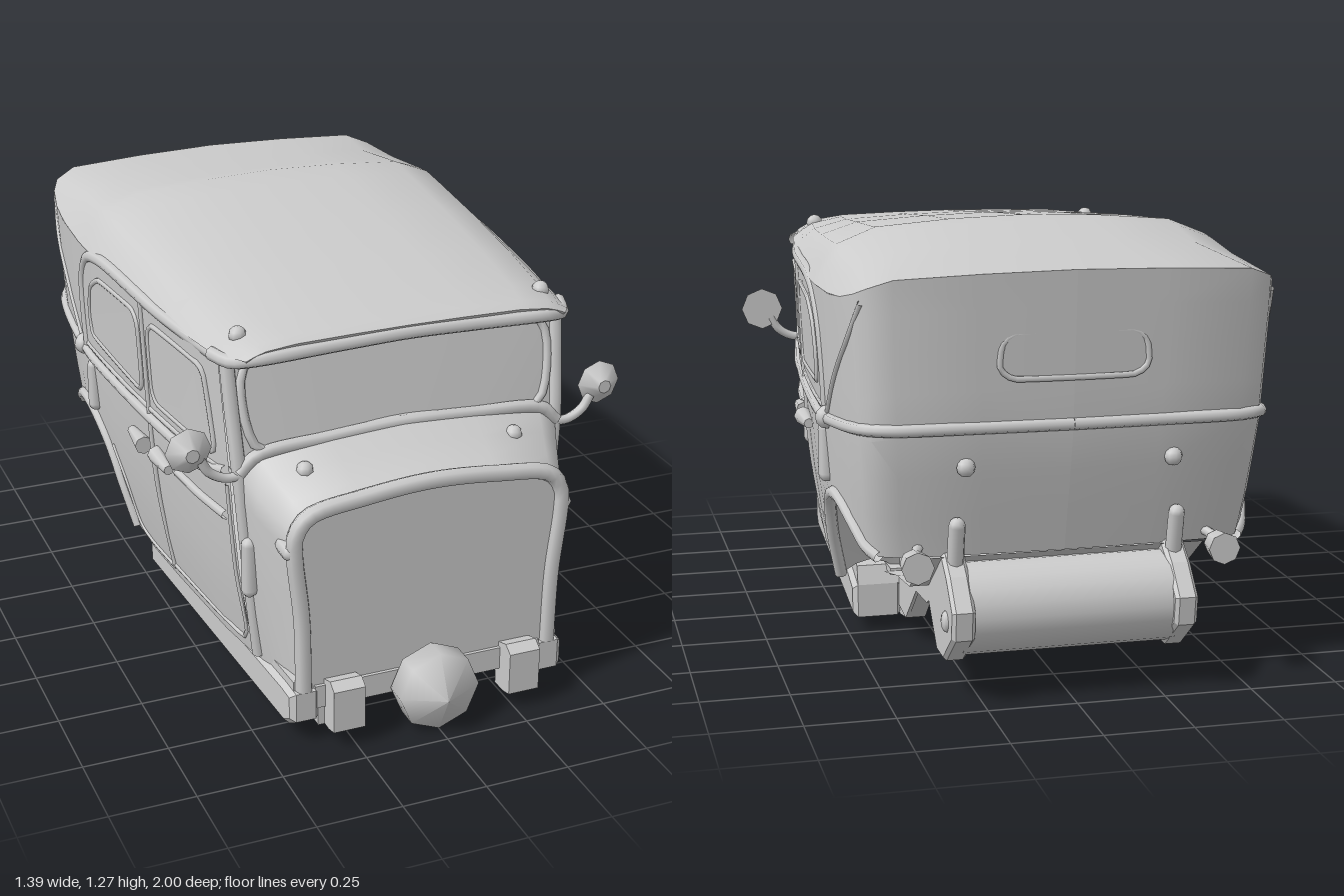
import * as THREE from 'three';
import { toCreasedNormals } from 'three/addons/utils/BufferGeometryUtils.js';

const V = (x, y, z) => new THREE.Vector3(x, y, z);
const clamp = THREE.MathUtils.clamp;
const mat = new THREE.MeshStandardMaterial({ color: 0xcccccc, side: THREE.DoubleSide });

function lerpTable(t, k) {
  const up = t[t.length - 1][0] > t[0][0];
  let i = 0;
  while (i < t.length - 2 && (up ? k > t[i + 1][0] : k < t[i + 1][0])) i++;
  const s = clamp((k - t[i][0]) / (t[i + 1][0] - t[i][0]), 0, 1);
  return t[i][1] + s * (t[i + 1][1] - t[i][1]);
}

function add(group, name, geo, pos = [0, 0, 0]) {
  const m = new THREE.Mesh(geo, mat);
  m.name = name;
  m.position.set(...pos);
  group.add(m);
  return m;
}

// Surface through rows of points
function sheet(rows, crease = 0.7) {
  const n = rows[0].length, index = [];
  const geo = new THREE.BufferGeometry().setFromPoints(rows.flat());
  for (let i = 0; i < rows.length - 1; i++) for (let j = 0; j < n - 1; j++) {
    const a = i * n + j, b = a + n;
    index.push(a, b, a + 1, b, b + 1, a + 1);
  }
  geo.setIndex(index);
  return toCreasedNormals(geo, crease);
}

const tube = (pts, r, closed = false, seg = pts.length * 5) =>
  new THREE.TubeGeometry(new THREE.CatmullRomCurve3(pts, closed), seg, r, 8, closed);
const mirrorRow = half => [...half, ...half.slice(0, -1).reverse().map(p => V(-p.x, p.y, p.z))];
const box = (x, y, z) => new THREE.BoxGeometry(x, y, z);

// Side profile given as [z, y], extruded from x0 to x1
function extrudeX(pts, x0, x1, bevel = 0) {
  const s = new THREE.Shape(pts.map(([z, y]) => new THREE.Vector2(-z, y)));
  const g = new THREE.ExtrudeGeometry(s, {
    depth: x1 - x0, bevelEnabled: bevel > 0, bevelSize: bevel, bevelOffset: -bevel, bevelThickness: bevel, bevelSegments: 1 });
  return g.rotateY(Math.PI / 2).translate(x0, 0, 0);
}

// Draws the outer face inward towards the front
function taperFront(geo) {
  const p = geo.attributes.position;
  for (let i = 0; i < p.count; i++) if (p.getX(i) > 0.4) p.setX(i, p.getX(i) - 0.06 * (p.getZ(i) + 0.24) / 1.1);
  geo.computeVertexNormals();
  return geo;
}

// Body plan columns: z and x at belt height, lower edge, upper edge
const columns = [
  [0.62, 0.51, 0.17, 1.1], [0.45, 0.54, 0.17, 1.1], [0.25, 0.56, 0.17, 1.1], [0.1, 0.575, 0.17, 1.1],
  [-0.1, 0.59, 0.17, 1.1], [-0.24, 0.598, 0.19, 1.1], [-0.29, 0.601, 0.32, 1.1], [-0.35, 0.603, 0.42, 1.1],
  [-0.42, 0.605, 0.48, 1.1], [-0.52, 0.604, 0.51, 1.1], [-0.62, 0.6, 0.51, 1.1], [-0.75, 0.588, 0.47, 1.11],
  [-0.84, 0.57, 0.42, 1.13], [-0.89, 0.545, 0.4, 1.15], [-0.92, 0.48, 0.4, 1.175],
  [-0.93, 0.25, 0.4, 1.185], [-0.935, 0, 0.4, 1.19]];
const widthAt = columns.slice(0, 14);
const taper = [[0.16, 0.86], [0.3, 0.91], [0.5, 0.96], [0.73, 0.99], [1.1, 1.02], [1.2, 1.02]];
const rearLean = [[0.4, 0.078], [0.73, 0], [1.19, -0.035]];

function wallPoint(z, x, y, out = 0) {
  const rear = clamp((-0.4 - z) / 0.5, 0, 1), front = clamp((z - 0.4) / 0.22, 0, 1);
  return V(x * lerpTable(taper, y) + out, y,
    z + rear * lerpTable(rearLean, y) - front * Math.max(0, y - 0.73) * 0.12 - rear * out * 0.7);
}
const onSide = (z, y, out = 0) => wallPoint(z, lerpTable(widthAt, z), y, out);
const sidePath = (pts, out = 0) => pts.map(([z, y]) => onSide(z, y, out));

const tankProfile = [[-0.66, 0.23], [-0.78, 0.11], [-0.87, 0.11], [-0.985, 0.2], [-0.995, 0.28], [-0.92, 0.36], [-0.85, 0.41], [-0.78, 0.41]];

// Parts that occur once on each side
function buildSide() {
  const g = new THREE.Group();

  const levels = [0, 0.15, 0.3, 0.45, 0.6, 0.75, 0.88, 1];
  add(g, 'bodyWall', sheet(columns.map(([z, x, b, t]) => levels.map(k => wallPoint(z, x, b + (t - b) * k)))));

  // Mouldings
  const belt = columns.slice(1).map(([z, x]) => wallPoint(z, x, 0.72 + 0.05 * clamp((-0.45 - z) / 0.45, 0, 1)));
  add(g, 'beltMoulding', tube([onSide(0.6, 0.76), ...belt], 0.017));
  add(g, 'windowSill', tube(sidePath([[0.58, 0.755], [0.2, 0.75], [-0.2, 0.75], [-0.46, 0.75]], -0.003), 0.01));
  add(g, 'topBow', tube(sidePath([[0.6, 1.09], [0.2, 1.095], [-0.28, 1.095], [-0.4, 1.06], [-0.46, 0.98], [-0.48, 0.85], [-0.48, 0.74]], -0.01), 0.02));
  add(g, 'screenPillar', tube([V(0.5, 1.1, 0.585), V(0.495, 0.95, 0.61), V(0.485, 0.75, 0.64), V(0.455, 0.4, 0.64), V(0.43, 0.18, 0.63)], 0.022));
  add(g, 'doorPost', tube(sidePath([[0.09, 1.09], [0.09, 0.75], [0.09, 0.5], [0.09, 0.2]]), 0.009));
  add(g, 'frontDoorEdge', tube(sidePath([[0.6, 0.72], [0.6, 0.45], [0.59, 0.22], [0.5, 0.21], [0.1, 0.21]]), 0.007));
  add(g, 'rearDoorEdge', tube(sidePath([[0.09, 0.2], [-0.12, 0.2], [-0.19, 0.22], [-0.24, 0.34], [-0.32, 0.45]]), 0.007));
  add(g, 'topStrut', tube(sidePath([[-0.53, 0.75], [-0.66, 0.88], [-0.79, 1.0], [-0.87, 1.11]]), 0.009));

  // Side windows
  const windows = {
    frontWindow: [[0.52, 0.79], [0.17, 0.79], [0.13, 0.83], [0.13, 1.0], [0.17, 1.04], [0.48, 1.04], [0.52, 1.01], [0.545, 0.83]],
    rearWindow: [[0.05, 0.83], [0.05, 1.0], [0.01, 1.04], [-0.27, 1.03], [-0.36, 0.98], [-0.39, 0.9], [-0.37, 0.81], [0.02, 0.79]] };
  for (const [name, pts] of Object.entries(windows)) {
    add(g, name + 'Frame', new THREE.TubeGeometry(new THREE.CatmullRomCurve3(sidePath(pts), true, 'catmullrom', 0.2), 56, 0.009, 6, true));
    const pane = new THREE.ShapeGeometry(new THREE.Shape(pts.map(p => new THREE.Vector2(...p))));
    const p = pane.attributes.position;
    for (let i = 0; i < p.count; i++) {
      const q = onSide(p.getX(i), p.getY(i), 0.003);
      p.setXYZ(i, q.x, q.y, q.z);
    }
    pane.computeVertexNormals();
    add(g, name + 'Glass', pane);
  }

  // Handles, strips and lamps
  for (const [z, a] of [[0.19, 1], [0, -1]]) {
    const h = add(g, 'doorHandle', new THREE.CylinderGeometry(0.015, 0.028, 0.12, 8), onSide(z, 0.615, 0.015).toArray());
    h.rotation.x = a * Math.PI / 2;
  }
  add(g, 'sideStrip', tube(sidePath([[0.58, 0.615], [0.42, 0.615], [0.27, 0.615]], 0.002), 0.014));
  const lamp = add(g, 'cowlLamp', new THREE.CapsuleGeometry(0.026, 0.045, 3, 8), [0.415, 0.61, 0.82]);
  lamp.rotation.x = Math.PI / 2;
  add(g, 'frontHinge', new THREE.CapsuleGeometry(0.024, 0.14, 3, 8), [0.47, 0.485, 0.665]);
  add(g, 'rearHinge', new THREE.CapsuleGeometry(0.024, 0.13, 3, 8), onSide(-0.44, 0.615).toArray());
  const knob = new THREE.SphereGeometry(0.026, 8, 6);
  add(g, 'topPivot', new THREE.SphereGeometry(0.034, 8, 6), onSide(-0.51, 0.73).toArray());
  add(g, 'roofKnob', knob, [0.46, 1.15, 0.57]);
  add(g, 'cowlKnob', knob, [0.32, 0.78, 0.71]);
  add(g, 'rearKnob', knob, [0.29, 0.66, -0.915]);

  // Mirror
  add(g, 'mirrorArm', tube([V(0.47, 0.765, 0.645), V(0.53, 0.765, 0.645), V(0.575, 0.79, 0.645), V(0.6, 0.83, 0.645)], 0.014));
  const mirror = add(g, 'mirror', new THREE.CylinderGeometry(0.02, 0.067, 0.04, 8), [0.63, 0.86, 0.655]);
  mirror.rotation.x = Math.PI / 2;

  // Rear wheel arch with well
  const arch = columns.slice(5, 14);
  add(g, 'archLip', tube(arch.map(([z, x, b]) => wallPoint(z, x, b)), 0.018));
  add(g, 'wheelWell', sheet(arch.map(([z, x, b]) => {
    const o = wallPoint(z, x, b);
    return [0, 0.25, 0.5, 0.75, 1].map(k => V(o.x + (0.34 - o.x) * k, b + 0.04 * Math.sin(k * Math.PI), o.z));
  }), 1));
  const inner = arch.map(([z, x, b]) => [wallPoint(z, x, b).z, b]);
  add(g, 'wheelWellWall', extrudeX([[-0.24, 0.08], ...inner, [-0.82, 0.3], [-0.65, 0.21], [-0.5, 0.2], [-0.34, 0.07]], 0.335, 0.345));

  // Frame rail and running board
  add(g, 'frameRail', extrudeX([[0.86, 0.05], [0.86, 0.17], [-0.25, 0.2], [-0.5, 0.26], [-0.66, 0.26], [-0.72, 0.3],
    [-0.78, 0.2], [-0.65, 0.21], [-0.5, 0.21], [-0.34, 0.07], [-0.24, 0.05]], 0.285, 0.34));
  add(g, 'runningBoard', taperFront(extrudeX([[0.87, 0.08], [0.87, 0.17], [0.8, 0.175], [-0.1, 0.165], [-0.24, 0.15],
    [-0.24, 0.05], [0.82, 0.05]], 0.35, 0.47, 0.015)));
  add(g, 'sill', taperFront(extrudeX([[0.85, 0.15], [0.85, 0.2], [-0.22, 0.205], [-0.24, 0.15]], 0.34, 0.47)));
  add(g, 'bumperBracket', extrudeX([[0.84, 0.05], [0.84, 0.19], [0.9, 0.21], [0.93, 0.19], [0.93, 0.06], [0.89, 0.05]], 0.225, 0.32));

  // Tank end and tail lamp
  add(g, 'tankEnd', extrudeX(tankProfile, 0.29, 0.335, 0.01));
  const cap = add(g, 'tankBolt', new THREE.SphereGeometry(0.03, 8, 6), [0.345, 0.235, -0.91]);
  cap.scale.x = 0.5;
  add(g, 'rearBracket', new THREE.CapsuleGeometry(0.024, 0.11, 3, 8), [0.31, 0.44, -0.88]).rotation.x = -0.2;
  add(g, 'tailLampArm', tube([V(0.4, 0.43, -0.83), V(0.42, 0.42, -0.87), V(0.43, 0.4, -0.91)], 0.014));
  const tail = add(g, 'tailLamp', new THREE.CylinderGeometry(0.045, 0.036, 0.07, 8), [0.43, 0.4, -0.92]);
  tail.rotation.x = -Math.PI / 2;
  return g;
}

export function createModel() {
  const car = new THREE.Group();
  car.name = 'carBody';
  const left = buildSide();
  left.name = 'leftSide';
  const right = left.clone();
  right.name = 'rightSide';
  right.scale.x = -1;
  car.add(left, right);

  // Roof: arched sections from the visor to the rear rim
  const bend = [[1, 0], [0.945, 0.32], [0.88, 0.6], [0.7, 0.86], [0.35, 0.96], [0, 1]];
  const roofRows = [[0.67, 0.47, 1.1, 1.125], [0.69, 0.48, 1.12, 1.155], [0.66, 0.5, 1.12, 1.17], [0.55, 0.535, 1.105, 1.18], [0.3, 0.57, 1.1, 1.205],
    [0, 0.598, 1.1, 1.235], [-0.3, 0.616, 1.1, 1.262], [-0.4, 0.62, 1.1, 1.272], [-0.46, 0.62, 1.1, 1.262], [-0.66, 0.61, 1.1, 1.23]]
    .map(([z, w, e, h]) => mirrorRow(bend.map(([a, b]) => V(w * a, e + (h - e) * b, z))));
  const rim = columns.slice(-6).map(([z, x, , t]) => wallPoint(z, x, t));
  add(car, 'roof', sheet([...roofRows, mirrorRow(rim)], 0.6));
  add(car, 'visorLip', tube(mirrorRow([V(0.53, 1.1, 0.55), V(0.5, 1.1, 0.63), V(0.45, 1.115, 0.675), V(0.2, 1.125, 0.68), V(0, 1.13, 0.68)]), 0.02));

  // Cowl and front panel
  const front = [[0.38, 0.17], [0.385, 0.4], [0.405, 0.6], [0.402, 0.66], [0.365, 0.71], [0.2, 0.74], [0, 0.755]];
  const back = [[0.435, 0.17, 0.62], [0.475, 0.45, 0.63], [0.49, 0.7, 0.64], [0.485, 0.765, 0.65], [0.43, 0.81, 0.655], [0.22, 0.835, 0.66], [0, 0.845, 0.665]];
  const rows = [0, 0.35, 0.7, 1].map(k => mirrorRow(front.map(([x, y], i) =>
    V(x + (back[i][0] - x) * k, y + (back[i][1] - y) * k - 0.012 * Math.sin(k * Math.PI), 0.86 + (back[i][2] - 0.86) * k))));
  add(car, 'cowl', sheet(rows, 0.9));
  add(car, 'frontPanel', new THREE.ShapeGeometry(new THREE.Shape(rows[0].map(p => new THREE.Vector2(p.x, p.y)))), [0, 0, 0.855]);
  add(car, 'frontPanelRim', tube(rows[0].map(p => V(p.x, p.y, 0.85)), 0.025));

  // Windscreen
  const low = [V(0.49, 0.77, 0.645), V(0.44, 0.815, 0.645), V(0.22, 0.835, 0.645), V(0, 0.845, 0.645)];
  const high = [V(0.505, 1.1, 0.59), V(0.44, 1.11, 0.59), V(0.22, 1.12, 0.59), V(0, 1.125, 0.59)];
  add(car, 'windscreen', sheet([mirrorRow(low), mirrorRow(high)]));
  add(car, 'cowlMoulding', tube(mirrorRow(low), 0.02));
  const frame = [[0.42, 0.83], [0.45, 0.87], [0.465, 1.03], [0.44, 1.075], [0.2, 1.095]];
  const loop = [...frame, [0, 1.1], ...frame.map(([x, y]) => [-x, y]).reverse(), [0, 0.855]];
  add(car, 'windscreenFrame', tube(loop.map(([x, y]) => V(x, y, 0.645 - (y - 0.82) * 0.2)), 0.013, true));

  // Rear window
  const rw = [[0.16, 0.9], [0.205, 0.93], [0.2, 0.99], [0.16, 1.02], [-0.16, 1.02], [-0.2, 0.99], [-0.205, 0.93], [-0.16, 0.9]];
  add(car, 'rearWindowRim', new THREE.TubeGeometry(
    new THREE.CatmullRomCurve3(rw.map(([x, y]) => V(x, y, -0.946)), true, 'catmullrom', 0.2), 48, 0.009, 6, true));

  // Underside
  add(car, 'floor', box(0.76, 0.02, 1.14), [0, 0.2, 0.28]);
  add(car, 'rearFloor', sheet([[-0.28, 0.2], [-0.5, 0.25], [-0.68, 0.27], [-0.86, 0.4]].map(([z, y]) => [V(0.4, y, z), V(-0.4, y, z)])));
  add(car, 'frontCrossmember', box(0.7, 0.07, 0.05), [0, 0.145, 0.84]);
  for (const z of [0.45, 0.1, -0.22]) add(car, 'crossmember', box(0.6, 0.04, 0.04), [0, 0.12, z]);
  add(car, 'driveShaft', new THREE.CylinderGeometry(0.025, 0.025, 0.78, 8), [0, 0.12, 0.47]).rotation.x = Math.PI / 2;
  add(car, 'shaftJoint', new THREE.SphereGeometry(0.045, 8, 6), [0, 0.11, 0.1]);
  add(car, 'lowerPlate', box(0.1, 0.03, 0.22), [0, 0.045, 0.79]);
  add(car, 'lowerFoot', box(0.06, 0.04, 0.05), [0, 0.025, 0.825]);
  add(car, 'fuelTank', new THREE.CylinderGeometry(0.128, 0.128, 0.6, 20), [0, 0.25, -0.845]).rotation.z = Math.PI / 2;

  // Front hub with pointed cap
  const hub = new THREE.LatheGeometry([[0, 0.78], [0.07, 0.78], [0.07, 0.84], [0.122, 0.87], [0.122, 0.94], [0, 1]]
    .map(p => new THREE.Vector2(...p)), 8);
  add(car, 'frontHub', hub.rotateX(Math.PI / 2), [0, 0.128, 0]);
  return car;
}
